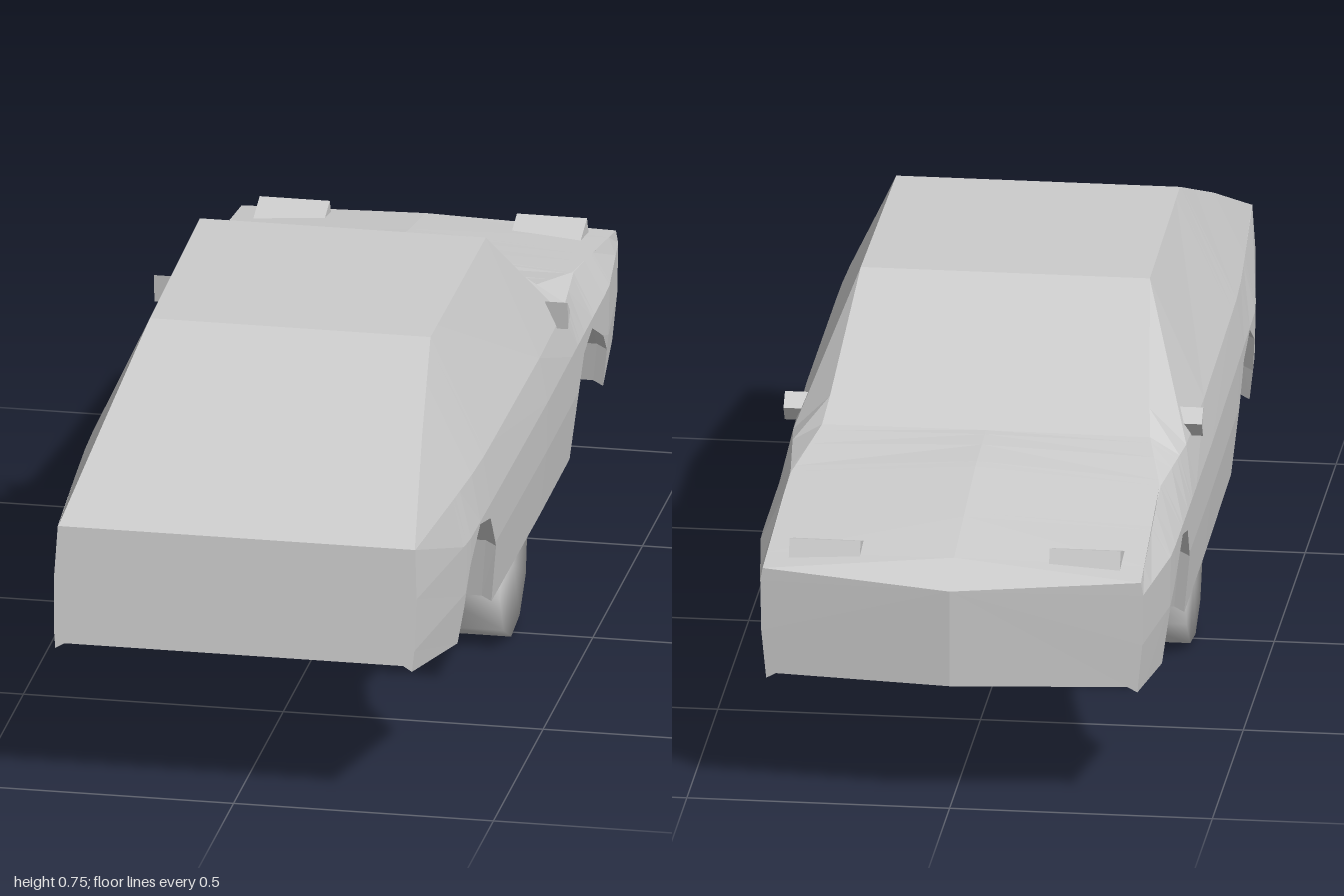
import * as THREE from 'three';
import { mergeVertices } from 'three/addons/utils/BufferGeometryUtils.js';

const flat = new THREE.MeshStandardMaterial({ color: 0xcccccc, flatShading: true, side: THREE.DoubleSide });
const smooth = new THREE.MeshStandardMaterial({ color: 0xcccccc });

// Piecewise linear lookup in [[position, value], ...]
function at(table, p) {
  if (p <= table[0][0]) return table[0][1];
  for (let i = 1; i < table.length; i++) {
    const [a, va] = table[i - 1], [b, vb] = table[i];
    if (p <= b) return va + (vb - va) * (p - a) / (b - a);
  }
  return table[table.length - 1][1];
}

// Lower edge of the body with both wheel arches: [z, y]
const lowerEdge = [
  [-0.965, 0.235], [-0.755, 0.22], [-0.74, 0.30], [-0.68, 0.35], [-0.56, 0.41], [-0.48, 0.39],
  [-0.43, 0.32], [-0.41, 0.20], [0.365, 0.20], [0.385, 0.32], [0.45, 0.40], [0.55, 0.425],
  [0.64, 0.375], [0.67, 0.30], [0.69, 0.235], [1, 0.29],
];
// Side bulge by height, and its taper along the length
const sideX = [[0.2, 0.378], [0.33, 0.392], [0.43, 0.394]];
const taper = [[-0.965, 0.925], [-0.73, 0.995], [0, 1], [0.65, 0.985], [1, 0.885]];
// Shoulder line and upper edge (bonnet edge, screen pillar, roof, tail), each by z
const shoulderY = [[-0.965, 0.455], [-0.6, 0.512], [-0.35, 0.515], [0, 0.52], [1, 0.525]];
const shoulderX = [[-0.965, 0.36], [-0.58, 0.352], [-0.35, 0.374], [0, 0.38], [0.5, 0.375], [1, 0.344]];
const topY = [[-0.965, 0.455], [-0.58, 0.513], [-0.4, 0.55], [-0.1, 0.755], [0.43, 0.75], [1, 0.525]];
const topX = [[-0.965, 0.36], [-0.58, 0.35], [-0.4, 0.31], [-0.1, 0.275], [0.43, 0.27], [1, 0.343]];
const centreY = [[-0.965, 0.435], [-0.9, 0.478], [-0.57, 0.54], [-0.4, 0.55], [-0.1, 0.755], [0.43, 0.75], [1, 0.525]];

// Half cross-section from underside centre, out and up to roof centre
function section(z) {
  const low = at(lowerEdge, z), t = at(taper, z);
  const sideAt = y => at(sideX, y) * t;
  const mid = Math.max(0.33, low);
  const nose = -0.035 * THREE.MathUtils.clamp((-z - 0.56) / 0.405, 0, 1);
  const tail = 0.03 * THREE.MathUtils.clamp((z - 0.69) / 0.31, 0, 1);
  const inner = sideAt(low) * 0.95;
  return [
    [0, low + 0.01, nose], [inner, low + 0.01, 0], [sideAt(low), low, 0], [sideAt(mid), mid, 0],
    [sideAt(0.43), 0.43, 0], [at(shoulderX, z), at(shoulderY, z), 0],
    [at(topX, z), at(topY, z), 0], [0, at(centreY, z), nose],
  ].map(([x, y, dz]) => new THREE.Vector3(x, y, z + dz - tail * (y - 0.29) / 0.235));
}

function bodyGeometry() {
  const stations = [...lowerEdge.map(p => p[0]), -0.9, -0.58, -0.35, -0.1, 0.43].sort((a, b) => a - b);
  const rings = [...new Set(stations)].map(section);
  const pos = [];
  const tri = (a, b, c) => {
    const area = b.clone().sub(a).cross(c.clone().sub(a)).length();
    if (area < 1e-7) return;
    for (const p of [a, b, c]) pos.push(p.x, p.y, p.z);
    for (const p of [a, c, b]) pos.push(-p.x, p.y, p.z);
  };
  // Skin between neighbouring sections, mirrored
  for (let i = 0; i + 1 < rings.length; i++) {
    const r = rings[i], s = rings[i + 1];
    for (let j = 0; j + 1 < r.length; j++) {
      tri(r[j], r[j + 1], s[j + 1]);
      tri(r[j], s[j + 1], s[j]);
    }
  }
  // End panels
  const first = rings[0], last = rings[rings.length - 1], n = first.length - 1;
  for (let j = 0; j < n - 1; j++) {
    tri(first[n], first[j + 1], first[j]);
    tri(last[n], last[j], last[j + 1]);
  }
  const g = new THREE.BufferGeometry();
  g.setAttribute('position', new THREE.Float32BufferAttribute(pos, 3));
  g.computeVertexNormals();
  return g;
}

// Prism from a [z, y] outline, spanning x0 to x1
function prism(outline, x0, x1) {
  const shape = new THREE.Shape(outline.map(([z, y]) => new THREE.Vector2(-z, y)));
  const g = new THREE.ExtrudeGeometry(shape, { depth: x1 - x0, bevelEnabled: false });
  return g.rotateY(Math.PI / 2).translate(x0, 0, 0);
}

function wheelGeometry() {
  let g = new THREE.CylinderGeometry(0.14, 0.14, 0.125, 10);
  g.rotateZ(Math.PI / 2).rotateX(0.14);
  g.deleteAttribute('normal');
  g.deleteAttribute('uv');
  g = mergeVertices(g, 1e-4);
  g.computeVertexNormals();
  return g;
}

export function createModel() {
  const car = new THREE.Group();
  car.name = 'car';
  const add = (name, geometry, material = flat) => {
    const mesh = new THREE.Mesh(geometry, material);
    mesh.name = name;
    car.add(mesh);
    return mesh;
  };

  add('body', bodyGeometry());

  // Door mirrors and raised headlights on both sides
  const mirror = [[-0.28, 0.565], [-0.305, 0.54], [-0.285, 0.51]];
  const lamp = [[-0.91, 0.497], [-0.928, 0.455], [-0.83, 0.47]];
  for (const [side, s] of [['left', 1], ['right', -1]]) {
    const span = (a, b) => (s > 0 ? [a, b] : [-b, -a]);
    add(side + 'Mirror', prism(mirror, ...span(0.345, 0.398)));
    add(side + 'Headlight', prism(lamp, ...span(0.18, 0.315)));
  }

  // Row of three wheels under the floor
  const wheel = wheelGeometry();
  [['left', 0.285], ['middle', 0], ['right', -0.285]].forEach(([name, x]) => {
    add(name + 'Wheel', wheel, smooth).position.set(x, 0.138, 0);
  });
  return car;
}
